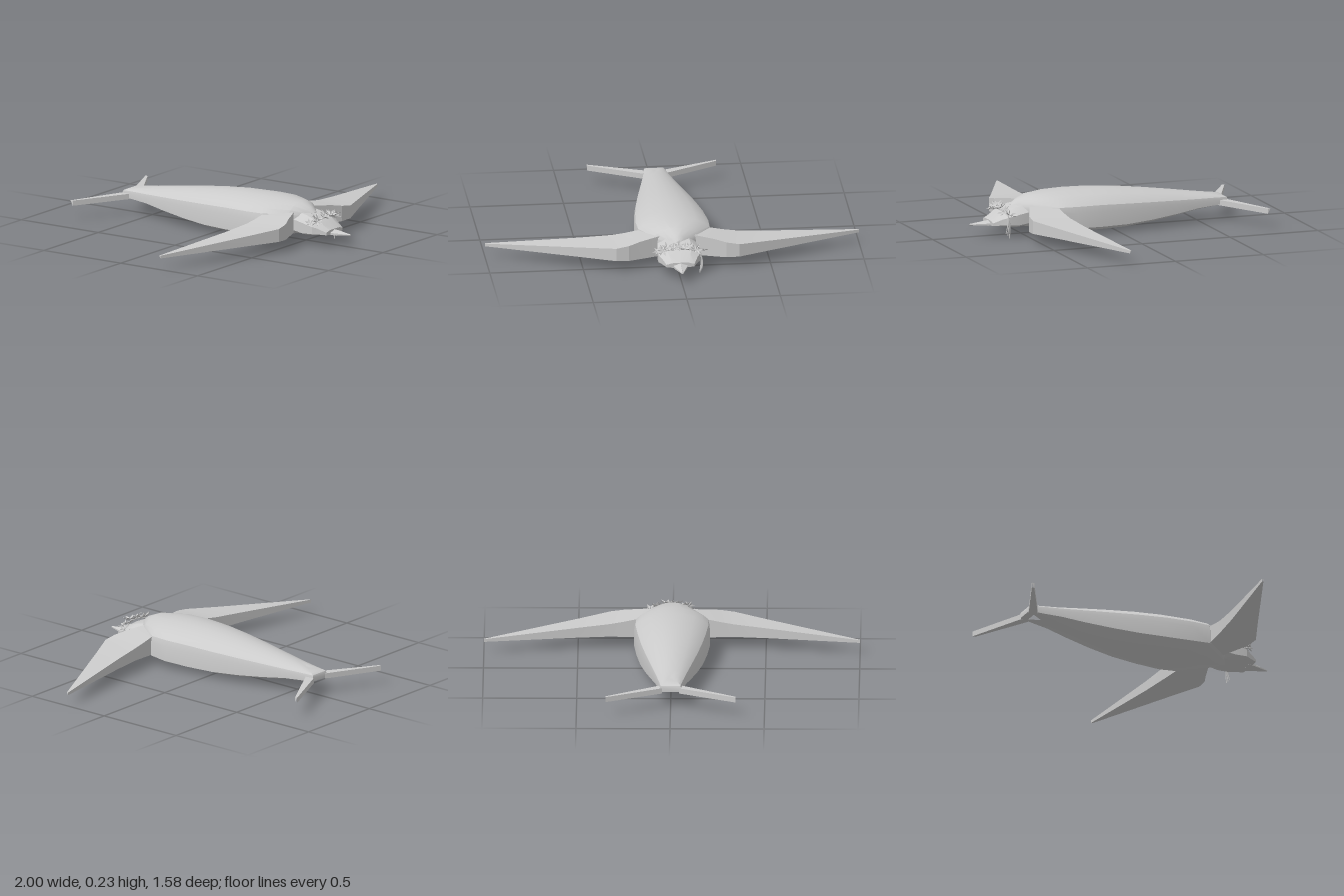
import * as THREE from 'three';
import { toCreasedNormals } from 'three/addons/utils/BufferGeometryUtils.js';

const grey = new THREE.MeshStandardMaterial({ color: 0xcccccc });
const thin = new THREE.MeshStandardMaterial({ color: 0xcccccc, side: THREE.DoubleSide });

// Skins a row of equal-length rings of [x, y, z] points and closes both ends.
function loft(rings, crease = 0.45) {
  const n = rings[0].length;
  const tris = [];
  for (let r = 0; r < rings.length - 1; r++) {
    for (let i = 0; i < n; i++) {
      const j = (i + 1) % n;
      const a = rings[r][i], b = rings[r][j], c = rings[r + 1][j], d = rings[r + 1][i];
      tris.push([a, b, c], [a, c, d]);
    }
  }
  const cap = (ring, flip) => {
    const add = (a, b, c) => tris.push(flip ? [c, b, a] : [a, b, c]);
    for (let i = 0; i + 1 < n - i - 1; i++) {
      add(ring[i], ring[i + 1], ring[n - i - 1]);
      if (i > 0) add(ring[i], ring[n - i - 1], ring[n - i]);
    }
  };
  cap(rings[0], true);
  cap(rings[rings.length - 1], false);
  // Turn the skin outward if its signed volume is negative
  const v = (p) => new THREE.Vector3(...p);
  const volume = tris.reduce((s, [a, b, c]) => s + v(a).dot(v(b).cross(v(c))), 0);
  if (volume < 0) tris.forEach((t) => t.reverse());
  const geo = new THREE.BufferGeometry();
  geo.setAttribute('position', new THREE.Float32BufferAttribute(tris.flat(2), 3));
  geo.computeVertexNormals();
  return toCreasedNormals(geo, crease);
}

function part(name, geo, material = grey) {
  const mesh = new THREE.Mesh(geo, material);
  mesh.name = name;
  return mesh;
}

// Ring at depth z from a half profile; notch sweeps the sides backward.
function ring(profile, [z, w, bottom, top, notch = 0]) {
  const at = (s) => ([u, t]) => [s * u * w, bottom + t * (top - bottom), z - notch * u];
  return [...profile.map(at(1)), ...profile.slice(1, -1).reverse().map(at(-1))];
}

// Flat blade running sideways: [x, zFront, zBack, bottom, top] per section
function blade(sections, s) {
  return loft(sections.map(([x, zf, zb, b, t]) => [
    [s * x, t, zf], [s * x, t, zb], [s * x, b, zb], [s * x, b, zf],
  ]), 0.3);
}

// Star blossom with pointed, cupped petals
function blossom(petals, radius) {
  const pos = [];
  const at = (a, r, h) => [r * Math.cos(a), h, r * Math.sin(a)];
  for (let i = 0; i < petals; i++) {
    const a = (i / petals) * Math.PI * 2, h = Math.PI / petals;
    const left = at(a - h * 0.8, radius * 0.5, radius * 0.22);
    const right = at(a + h * 0.8, radius * 0.5, radius * 0.22);
    const tip = at(a, radius, radius * 0.4), mid = at(a, radius * 0.5, radius * 0.08);
    pos.push(0, 0, 0, ...mid, ...left, 0, 0, 0, ...right, ...mid,
      ...left, ...mid, ...tip, ...mid, ...right, ...tip);
  }
  const geo = new THREE.BufferGeometry();
  geo.setAttribute('position', new THREE.Float32BufferAttribute(pos, 3));
  geo.computeVertexNormals();
  return geo;
}

export function createModel() {
  const model = new THREE.Group();

  // Long body: rounded back, upright flanks, shallow keel, notched tail
  const bodyProfile = [[0, 1], [0.28, 0.98], [0.58, 0.91], [0.82, 0.81], [0.96, 0.7],
    [1, 0.55], [1, 0.18], [0.62, 0.06], [0, 0]];
  const bodySections = [
    [0.56, 0.03, 0.06, 0.165], [0.53, 0.06, 0.05, 0.19], [0.47, 0.125, 0.04, 0.215],
    [0.35, 0.198, 0.02, 0.226], [0.25, 0.202, 0.008, 0.23], [0.1, 0.188, 0.004, 0.228],
    [-0.05, 0.167, 0.006, 0.217], [-0.2, 0.14, 0.02, 0.2], [-0.35, 0.11, 0.042, 0.18],
    [-0.48, 0.084, 0.066, 0.161], [-0.53, 0.066, 0.074, 0.153, 0.05],
    [-0.56, 0.055, 0.082, 0.146, 0.095],
  ];
  model.add(part('body', loft(bodySections.map((s) => ring(bodyProfile, s)))));

  // Wedge head with a small pointed beak
  const headProfile = [[0, 1], [0.6, 0.95], [1, 0.65], [1, 0.15], [0.6, 0], [0, 0]];
  model.add(part('head', loft([
    [0.47, 0.1, 0.06, 0.18], [0.55, 0.11, 0.052, 0.165], [0.615, 0.11, 0.06, 0.14],
    [0.64, 0.095, 0.062, 0.125], [0.685, 0.075, 0.065, 0.092],
  ].map((s) => ring(headProfile, s)), 0.3)));
  const beakProfile = [[0, 1], [1, 0.6], [1, 0.2], [0, 0]];
  model.add(part('beak', loft([
    [0.66, 0.042, 0.056, 0.092], [0.7, 0.034, 0.058, 0.086], [0.79, 0.003, 0.066, 0.074],
  ].map((s) => ring(beakProfile, s)), 0.3)));

  for (const [s, side] of [[1, 'left'], [-1, 'right']]) {
    // Swept wing, thick at the shoulder and thin at the tip
    model.add(part(side + 'Wing', blade([
      [0.09, 0.485, 0.36, 0.06, 0.172], [0.2, 0.525, 0.35, 0.06, 0.158],
      [0.26, 0.55, 0.348, 0.062, 0.146], [0.33, 0.555, 0.344, 0.065, 0.135],
      [0.5, 0.478, 0.325, 0.065, 0.12], [1, 0.258, 0.25, 0.065, 0.08],
    ], s)));
    // Narrow tail fin
    model.add(part(side + 'TailFin', blade([
      [0.045, -0.6, -0.655, 0.085, 0.114], [0.345, -0.775, -0.79, 0.081, 0.109],
    ], s)));
  }

  // Blossom garland laid across the crown
  const garland = new THREE.Group();
  garland.name = 'garland';
  const path = new THREE.CatmullRomCurve3([[-0.11, 0.122, 0.615], [-0.06, 0.142, 0.625],
    [0, 0.148, 0.63], [0.06, 0.142, 0.622], [0.115, 0.122, 0.612]]
    .map((p) => new THREE.Vector3(...p)));
  garland.add(part('garlandVine', new THREE.TubeGeometry(path, 24, 0.004, 5)));
  const count = 9;
  for (let i = 0; i < count; i++) {
    const flower = part('blossom', blossom(6, 0.031 + 0.005 * (i % 3)), thin);
    flower.position.copy(path.getPoint(i / (count - 1)));
    flower.position.y += 0.006;
    flower.position.z += i % 2 ? 0.01 : -0.01;
    flower.rotation.set(0.35 + 0.3 * Math.sin(i * 2.1), i * 0.9, -flower.position.x * 4);
    garland.add(flower);
  }
  // Strands and leaf hanging beside the left cheek
  for (let i = 0; i < 3; i++) {
    const strand = new THREE.CatmullRomCurve3([
      new THREE.Vector3(0.112, 0.125, 0.612),
      new THREE.Vector3(0.118 + 0.003 * i, 0.07, 0.605 + 0.008 * i),
      new THREE.Vector3(0.112 + 0.004 * i, 0.004 + 0.014 * i, 0.606 + 0.011 * i),
    ]);
    garland.add(part('hangingStrand', new THREE.TubeGeometry(strand, 10, 0.003, 4)));
  }
  model.add(garland);
  return model;
}
